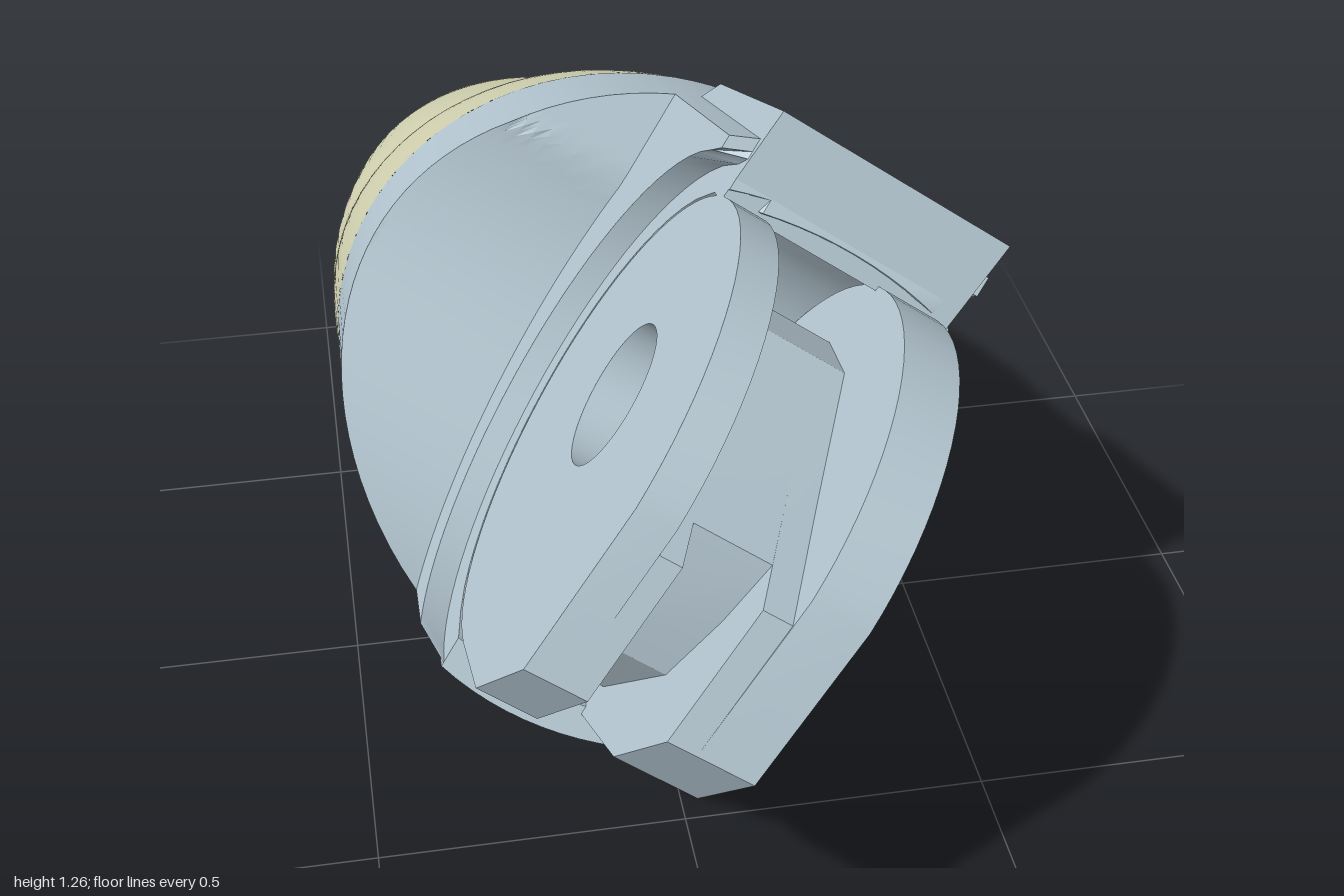
import * as THREE from 'three';
import { toCreasedNormals } from 'three/addons/utils/BufferGeometryUtils.js';

const HINGE = 0.695; // hinge centre along the finger axis (local z)
const ROLL = Math.atan2(0.566, 0.82); // roll of the hinge against the fingertip

// Surface from a rule: point(i, j) on an n x m grid, normal = i direction x j direction
function grid(n, m, point) {
  const pos = [], idx = [];
  for (let i = 0; i <= n; i++) for (let j = 0; j <= m; j++) pos.push(...point(i, j));
  for (let i = 0; i < n; i++) for (let j = 0; j < m; j++) {
    const a = i * (m + 1) + j, b = a + m + 1;
    idx.push(a, b, b + 1, a, b + 1, a + 1);
  }
  const g = new THREE.BufferGeometry();
  g.setAttribute('position', new THREE.Float32BufferAttribute(pos, 3));
  g.setIndex(idx);
  g.computeVertexNormals();
  return g;
}

// Extrude a (z, y) outline across the finger from x0 to x1
function slab(shape, x0, x1) {
  const g = new THREE.ExtrudeGeometry(shape, { depth: x1 - x0, bevelEnabled: false, curveSegments: 28 });
  g.rotateY(-Math.PI / 2);
  g.translate(x1, 0, 0);
  return toCreasedNormals(g, 0.3);
}

const polygon = (points) => new THREE.Shape(points.map(([s, y]) => new THREE.Vector2(s, y)));

function withPinHole(shape) {
  shape.holes.push(new THREE.Path().absarc(HINGE, 0, 0.11, 0, Math.PI * 2, true));
  return shape;
}

// Ear outline: round at the back and top, faceted at the lower front
function earShape() {
  const s = new THREE.Shape();
  s.absarc(HINGE, -0.05, 0.36, 0, Math.PI * 1.5, false);
  s.lineTo(0.866, -0.405);
  s.lineTo(1.005, -0.31);
  s.closePath();
  return withPinHole(s);
}

// Socket: oval body whose front is scooped out around the hinge
function socketGeometry() {
  const W = 0.4834, H = 0.4405, X0 = 0.008, cols = [];
  const span = (x0, x1, n, cut, ease = (k) => k) => {
    for (let k = 0; k <= n; k++) cols.push([x0 + (x1 - x0) * ease(k / n), cut]);
  };
  span(X0 - W, -0.19, 18, 0.5, (k) => k * k);
  span(-0.19, -0.15, 1, 0.41);
  span(-0.15, 0.2, 12, 0.365);
  span(0.2, 0.24, 1, 0.41);
  span(0.24, X0 + W, 18, 0.5, (k) => 1 - (1 - k) ** 2);
  // The side scoops run straight towards the knuckle, the middle one is round
  const front = (y, cut) => {
    const d = cut < 0.45 ? y + 0.05 : Math.min(y, 0.22);
    return Math.min(0.66, HINGE - Math.sqrt(Math.max(0, cut * cut - d * d)));
  };
  const M = 40;
  return toCreasedNormals(grid(cols.length - 1, M + 2, (i, j) => {
    const [x, cut] = cols[i];
    const u = (x - X0) / W, r = Math.sqrt(Math.max(0, 1 - u * u));
    const mid = -0.0115 + 0.0308 * u;
    if (j === 0) return [x, mid - H * r, 0];
    if (j === M + 2) return [x, mid + H * r, 0];
    const c = -Math.cos(Math.PI * (j - 1) / M);
    const flare = c < 0 ? 0.045 : 0.01;
    const h = (H + flare * front(H * r * Math.sign(c), cut)) * r;
    const y = mid + h * c;
    return [x, y, front(y, cut)];
  }), 0.5);
}

// Fingertip sections: axis position, half width, half height, centre height, centre offset
const SECTIONS = [
  [0, 0.485, 0.44, -0.014, 0], [-0.2, 0.478, 0.425, -0.02, -0.008], [-0.32, 0.463, 0.405, -0.035, -0.02],
  [-0.41, 0.452, 0.395, -0.035, -0.028], [-0.5, 0.438, 0.386, -0.034, -0.032], [-0.7, 0.4, 0.35, -0.02, -0.033],
  [-0.83, 0.335, 0.29, 0.007, -0.03], [-0.9, 0.25, 0.2, 0.04, -0.028], [-0.93, 0.145, 0.115, 0.05, -0.025],
  [-0.94, 0, 0, 0.052, -0.025],
];
const sizes = new THREE.CatmullRomCurve3(SECTIONS.map(([s, a, b]) => new THREE.Vector3(s, a, b)));
const centres = new THREE.CatmullRomCurve3(SECTIONS.map(([s, , , c, x]) => new THREE.Vector3(x, c, s)));

// Upper or lower part of the tip between two curve positions, split along the pad plane
function tipGeometry(t0, t1, upper) {
  const N = Math.round(54 * (t1 - t0)), M = 40, NX = 0.45, NY = 0.893;
  return grid(N, M, (i, j) => {
    const t = t0 + (t1 - t0) * i / N;
    const size = sizes.getPoint(t), c = centres.getPoint(t);
    const lean = 0.06 + 0.2 * t;
    const line = -0.04 + 0.08 * (-0.41 - size.x) / 0.53 - NX * c.x - NY * c.y;
    const kc = NX * size.y - NY * size.z * Math.sin(lean), ks = NY * size.z * Math.cos(lean);
    const phi = Math.atan2(ks, kc);
    const half = Math.acos(THREE.MathUtils.clamp(line / Math.max(Math.hypot(kc, ks), 0.001), -0.9, 0.9));
    const from = upper ? phi - half : phi + half;
    const q = from + (upper ? 2 * half : 2 * (Math.PI - half)) * j / M;
    return [c.x + size.y * Math.cos(q), c.y + size.z * Math.sin(q - lean), size.x];
  });
}

export function createModel() {
  const material = (name, color) => {
    const m = new THREE.MeshStandardMaterial({ color });
    m.name = name;
    return m;
  };
  const blue = material('paleBlue', 0xbccfda);
  const cream = material('cream', 0xdcdcba);
  const pink = material('dustyPink', 0xc8b0b6);

  const finger = new THREE.Group();
  finger.name = 'fingertip';
  const add = (name, geometry, mat, parent = finger) => {
    const mesh = new THREE.Mesh(geometry, mat);
    mesh.name = name;
    parent.add(mesh);
  };

  add('socket', socketGeometry(), blue);

  // Hinge: two ears with a cam between them, grooved for the cord
  add('leftHingeEar', slab(earShape(), 0.11, 0.2), blue);
  add('rightHingeEar', slab(earShape(), -0.15, -0.09), blue);
  const cam = () => withPinHole(polygon([
    [0.45, 0.12], [0.6, 0.2], [0.72, 0.185], [0.9, 0.03], [1.045, -0.09],
    [1.005, -0.31], [0.866, -0.405], [0.64, -0.44], [0.45, -0.4],
  ].reverse()));
  add('hingeCam', slab(cam(), -0.09, -0.055), blue);
  add('hingeCam', slab(cam(), 0.065, 0.11), blue);
  const groove = withPinHole(polygon([
    [0.45, 0.12], [0.6, 0.2], [0.72, 0.185], [0.9, 0.03], [0.99, -0.045],
    [0.945, -0.15], [0.87, -0.27], [0.68, -0.38], [0.45, -0.4],
  ].reverse()));
  add('cordGroove', slab(groove, -0.055, 0.065), blue);

  // Stop block on the knuckle side, sinking into the socket at its back
  const stop = polygon([[0.1, 0.33], [0.65, 0.3], [0.69, 0.45], [0.3, 0.43]]);
  add('stopBlock', slab(stop, -0.15, 0.23), blue);

  // Fingertip with the soft pad below
  const tip = new THREE.Group();
  tip.name = 'tip';
  tip.rotation.z = ROLL;
  finger.add(tip);
  add('tipTop', tipGeometry(0, 1, true), cream, tip);
  add('tipUnderside', tipGeometry(0, 1 / 3, false), cream, tip);
  add('fingerPad', tipGeometry(1 / 3, 1, false), pink, tip);

  // Lean the finger: local x is the hinge axis, local z runs from tip to hinge
  const z = new THREE.Vector3(0, 0.351, 0.936).normalize();
  const y = new THREE.Vector3().crossVectors(z, new THREE.Vector3(0.82, -0.53, 0.2)).normalize();
  const x = new THREE.Vector3().crossVectors(y, z);
  finger.quaternion.setFromRotationMatrix(new THREE.Matrix4().makeBasis(x, y, z));

  // Stand it on the ground, centred
  const model = new THREE.Group();
  model.name = 'fingertipModel';
  model.add(finger);
  const box = new THREE.Box3().setFromObject(model, true);
  const mid = box.getCenter(new THREE.Vector3());
  finger.position.set(-mid.x, -box.min.y, -mid.z);
  return model;
}
